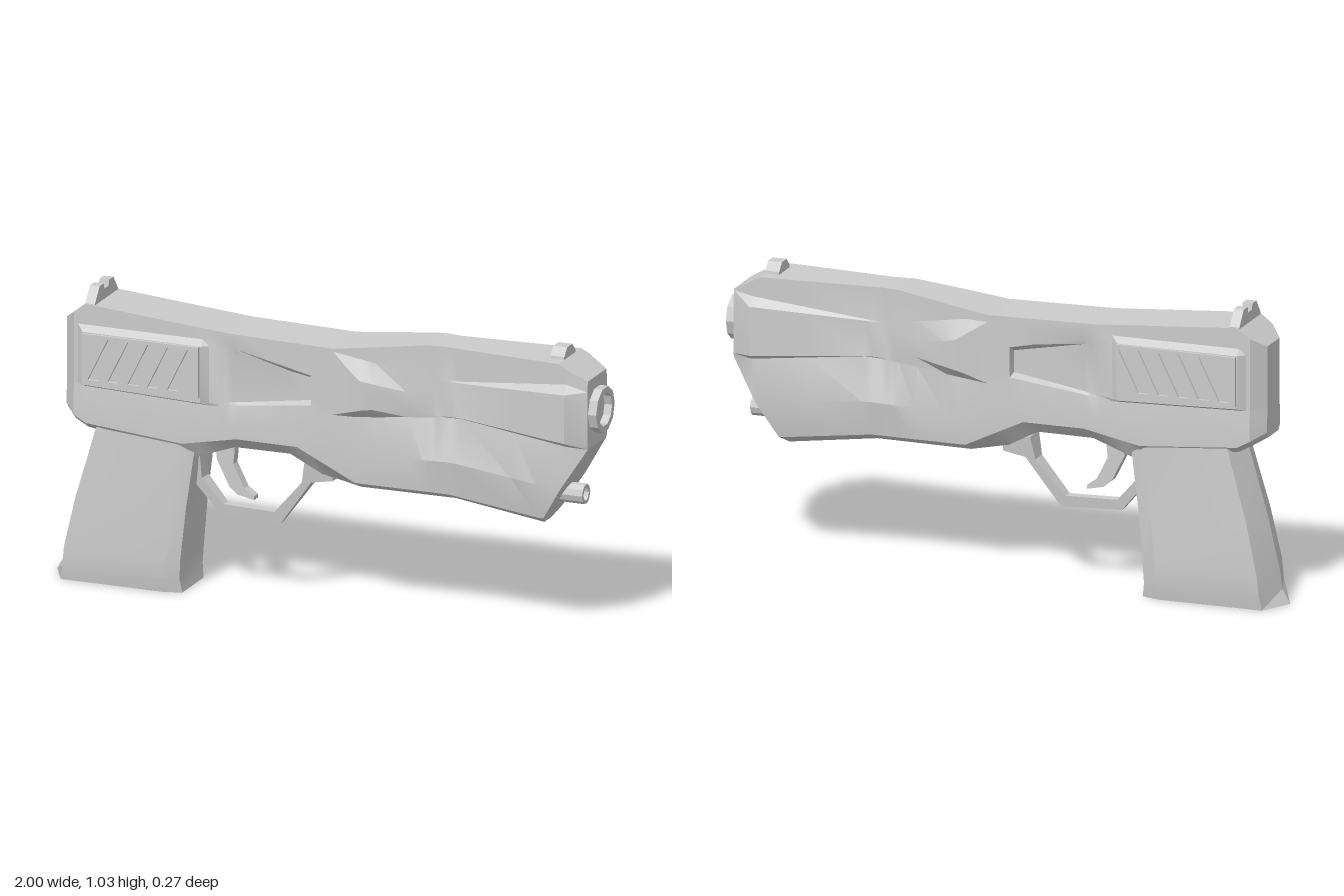
import * as THREE from 'three';
import { toCreasedNormals } from 'three/addons/utils/BufferGeometryUtils.js';

const material = new THREE.MeshStandardMaterial({ color: 0xcccccc });

function addMesh(parent, name, geometry) {
  const mesh = new THREE.Mesh(toCreasedNormals(geometry, 0.35), material);
  mesh.name = name;
  parent.add(mesh);
  return mesh;
}

// Value of a polyline [[x, v], ...] at x
function sample(line, x) {
  if (x <= line[0][0]) return line[0][1];
  for (let i = 1; i < line.length; i++) {
    const [x0, v0] = line[i - 1], [x1, v1] = line[i];
    if (x <= x1) return v0 + (v1 - v0) * (x - x0) / (x1 - x0);
  }
  return line[line.length - 1][1];
}

// Skin through half cross-sections, each mirrored in z and capped at both ends
function loft(halfRings) {
  const rings = halfRings.map(h =>
    [...h, ...h.slice().reverse().map(([x, y, z]) => [x, y, -z])].map(p => new THREE.Vector3(...p)));
  const n = rings[0].length, pos = [], tri = new THREE.Triangle();
  const face = (a, b, c) => {
    if (tri.set(a, b, c).getArea() > 1e-7) for (const p of [a, b, c]) pos.push(p.x, p.y, p.z);
  };
  const quad = (a, b, c, d) => { face(a, b, c); face(a, c, d); };
  for (let i = 0; i + 1 < rings.length; i++) {
    const r = rings[i], s = rings[i + 1];
    for (let k = 0; k < n; k++) quad(r[k], r[(k + 1) % n], s[(k + 1) % n], s[k]);
  }
  const first = rings[0], last = rings[rings.length - 1];
  for (let k = 0; k < n / 2 - 1; k++) {
    const [a, b, c, d] = [k, k + 1, n - 2 - k, n - 1 - k];
    quad(last[a], last[b], last[c], last[d]);
    quad(first[d], first[c], first[b], first[a]);
  }
  const g = new THREE.BufferGeometry();
  g.setAttribute('position', new THREE.Float32BufferAttribute(pos, 3));
  g.computeVertexNormals();
  return g;
}

const shapeOf = pts => new THREE.Shape(pts.map(p => new THREE.Vector2(...p)));

// Flat plate of given thickness, centred on z = 0
function plate(shape, depth) {
  return new THREE.ExtrudeGeometry(shape, { depth, bevelEnabled: false }).translate(0, 0, -depth / 2);
}

// Body heights along x
const topY = [[-0.94, 0.91], [-0.85, 0.977], [-0.33, 0.937], [0.05, 0.93], [0.38, 0.975], [0.87, 0.975], [0.97, 0.92]];
const panelTop = [[-0.94, 0.89], [-0.88, 0.905], [-0.4, 0.905], [-0.03, 0.825], [0.05, 0.92], [0.4, 0.86], [0.5, 0.86], [0.97, 0.915]];
const panelLow = [[-0.88, 0.69], [-0.4, 0.675], [-0.03, 0.72], [0.05, 0.69], [0.31, 0.715], [0.5, 0.73], [0.97, 0.68]];
const chamferY = [[-0.94, 0.61], [-0.85, 0.56], [-0.5, 0.53], [-0.3, 0.57], [-0.08, 0.57], [0.13, 0.467], [0.47, 0.465], [0.79, 0.42]];
const bottomY = [[-0.94, 0.59], [-0.85, 0.54], [-0.46, 0.48], [-0.32, 0.53], [-0.12, 0.53], [-0.01, 0.47], [0.13, 0.437], [0.47, 0.437], [0.79, 0.39]];
// Half widths along x
const rearTaper = [[-0.94, 0.55], [-0.895, 1]];
const sideZ = [[0.05, 0.104], [0.2, 0.094], [0.45, 0.068], [0.7, 0.086], [0.9, 0.1], [0.97, 0.08]];
const chamferZ = [[-0.08, 0.11], [0.79, 0.084]];
const bottomZ = [[-0.85, 0.085], [-0.12, 0.07], [0.13, 0.045], [0.79, 0.03]];
// Side panels: inset of their edge and how far they stand out or sink in
const inset = [[-0.03, 0.02], [0.05, 0.015], [0.16, 0.065], [0.31, 0.07], [0.42, 0.01], [0.5, 0.005], [0.9, 0.032]];
const bulge = [[-0.88, 0], [-0.855, 0.022], [-0.425, 0.022], [-0.4, 0.004], [-0.36, 0], [-0.032, -0.036], [-0.03, 0],
  [0.05, 0], [0.16, 0.034], [0.31, 0.006], [0.42, 0], [0.5, 0.004], [0.9, 0.022], [0.97, 0.005]];

function bodyGeometry() {
  const lines = [topY, panelTop, panelLow, chamferY, bottomY, rearTaper, sideZ, chamferZ, bottomZ, inset, bulge];
  const stations = [...new Set(lines.flat().map(p => p[0]))].sort((a, b) => a - b);
  return loft(stations.map(s => {
    const at = line => sample(line, s);
    const side = at(sideZ), panel = side + at(bulge), low = at(panelLow), cham = at(chamferY);
    const section = [
      [at(topY), side], [at(panelTop), side],
      [at(panelTop) - at(inset), panel], [low + at(inset) * 0.5, panel],
      [low, side], [cham + (low - cham) * 0.45, 0.11],
      [cham, at(chamferZ)], [at(bottomY), at(bottomZ)],
    ];
    // the nose is raked back below the muzzle
    return section.map(([y, z]) => [Math.min(s, 0.79 + (y - 0.39) * 0.62), y, z * at(rearTaper)]);
  }));
}

// Grip: [height, back ridge, rear side edge, front side edge, front, half width]
function gripGeometry() {
  return loft([
    [0, -1, -0.94, -0.57, -0.505, 0.11],
    [0.05, -0.972, -0.932, -0.562, -0.512, 0.118],
    [0.12, -0.962, -0.925, -0.557, -0.508, 0.12],
    [0.3, -0.92, -0.885, -0.54, -0.49, 0.113],
    [0.56, -0.845, -0.81, -0.51, -0.455, 0.103],
  ].map(([y, ridge, rear, side, front, z]) =>
    [[ridge, y, 0], [rear, y, z], [side, y, z], [front, y, z - 0.018]]));
}

// Raised plate with slanted slots
function grilleGeometry() {
  const shape = shapeOf([[-0.853, 0.708], [-0.428, 0.706], [-0.428, 0.884], [-0.853, 0.882]]);
  for (let i = 0; i < 5; i++) {
    const x = -0.832 + i * 0.0725;
    shape.holes.push(shapeOf([[x, 0.722], [x + 0.038, 0.722], [x + 0.112, 0.872], [x + 0.074, 0.872]]));
  }
  return plate(shape, 0.014);
}

// Guard strip, narrowing toward its lowest bar
function guardGeometry() {
  const g = plate(shapeOf([[-0.51, 0.5], [-0.485, 0.37], [-0.4, 0.27], [-0.18, 0.26], [-0.06, 0.425], [0.02, 0.44],
    [0.02, 0.47], [-0.08, 0.5], [-0.095, 0.42], [-0.2, 0.3], [-0.385, 0.305], [-0.46, 0.39], [-0.465, 0.5]]), 2);
  const p = g.attributes.position;
  for (let i = 0; i < p.count; i++) p.setZ(i, p.getZ(i) * (0.013 + (p.getY(i) - 0.26) * 0.12));
  return g;
}

// Sight from half its outline seen along the barrel
function sightGeometry(half, depth) {
  const mirrored = half.slice().reverse().map(([z, y]) => [-z, y]);
  return plate(shapeOf([...half, ...mirrored]), depth).rotateY(Math.PI / 2);
}

// Ring section turned about the x axis, with a closed bore
function tubeGeometry(outer, inner, from, to, floor) {
  const pts = [[0, from], [outer, from], [outer, to], [inner, to], [inner, floor], [0, floor]];
  return new THREE.LatheGeometry(pts.map(p => new THREE.Vector2(...p)), 10).rotateZ(-Math.PI / 2);
}

export function createModel() {
  const model = new THREE.Group();
  model.name = 'pistol';
  addMesh(model, 'body', bodyGeometry());
  addMesh(model, 'grip', gripGeometry());
  addMesh(model, 'leftGrille', grilleGeometry()).position.z = 0.13;
  addMesh(model, 'rightGrille', grilleGeometry()).position.z = -0.13;

  addMesh(model, 'triggerGuard', guardGeometry());
  addMesh(model, 'trigger', plate(shapeOf([[-0.42, 0.56], [-0.41, 0.46], [-0.365, 0.37], [-0.335, 0.345],
    [-0.275, 0.332], [-0.275, 0.345], [-0.31, 0.37], [-0.35, 0.45], [-0.34, 0.56]]), 0.036));

  // Sights
  const notched = [[0.1, 0.96], [0.1, 0.978], [0.06, 1.03], [0.022, 1.03], [0.018, 1.01]];
  addMesh(model, 'rearSight', sightGeometry(notched, 0.035)).position.x = -0.838;
  const blade = [[0.052, 0.96], [0.048, 0.985], [0.022, 1.012]];
  addMesh(model, 'frontSight', sightGeometry(blade, 0.05)).position.x = 0.845;

  // Muzzle and the small emitter beneath it
  addMesh(model, 'muzzle', tubeGeometry(0.08, 0.058, 0.9, 1, 0.972)).position.y = 0.803;
  addMesh(model, 'emitter', tubeGeometry(0.035, 0.023, 0.78, 0.93, 0.9)).position.y = 0.497;
  return model;
}
